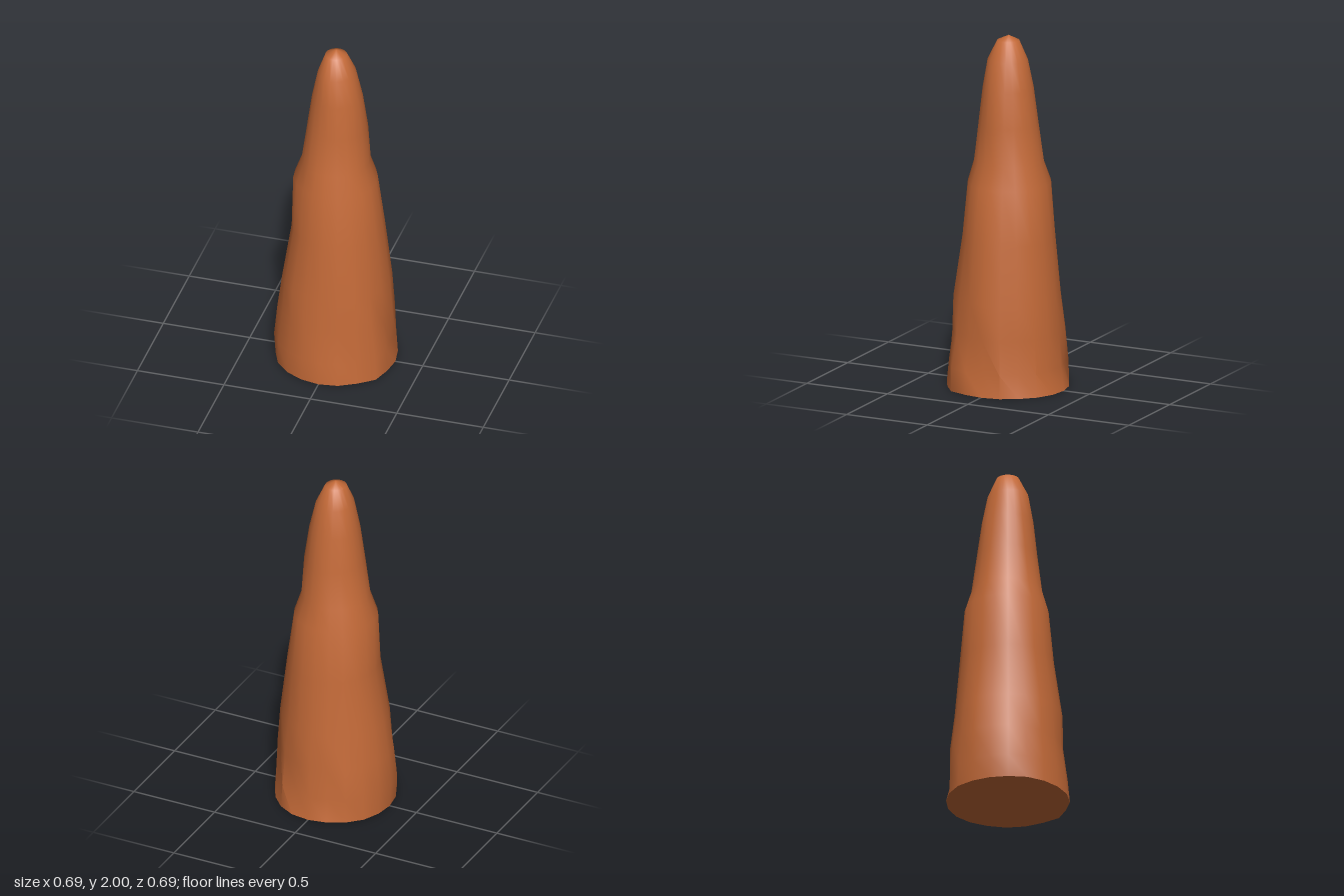
import * as THREE from 'three';
import { toCreasedNormals } from 'three/addons/utils/BufferGeometryUtils.js';

// Heights of the rings, and the radius at each toward front, left, back and right
const HEIGHTS = [0, 0.13, 0.32, 0.52, 0.85, 1.16, 1.28, 1.5, 1.7, 1.86, 1.97, 2];
const RADII = [
  [0.345, 0.335, 0.310, 0.305, 0.255, 0.230, 0.196, 0.165, 0.145, 0.120, 0.065, 0], // +z
  [0.342, 0.337, 0.326, 0.311, 0.274, 0.232, 0.190, 0.177, 0.150, 0.112, 0.060, 0], // +x
  [0.342, 0.325, 0.313, 0.292, 0.267, 0.235, 0.198, 0.170, 0.142, 0.109, 0.060, 0], // -z
  [0.335, 0.343, 0.328, 0.300, 0.245, 0.238, 0.194, 0.163, 0.133, 0.100, 0.060, 0], // -x
];
const SEGMENTS = 20;

// Chips along the foot: angle from +z toward +x, ring, inward depth
const CHIPS = [[5, 1, 0.025], [7, 1, 0.03], [7, 2, 0.015], [9, 1, 0.025], [11, 1, 0.02], [4, 2, 0.012]];

function radiusAt(segment, ring) {
  const t = (segment / SEGMENTS) * 4;
  const k = Math.floor(t) % 4;
  const f = t - Math.floor(t);
  let r = THREE.MathUtils.lerp(RADII[k][ring], RADII[(k + 1) % 4][ring], f * f * (3 - 2 * f));
  // Slight unevenness between the four main directions
  r *= 1 + 0.012 * Math.sin(segment * 2.5 * Math.PI + ring * 1.7) * Math.sin(f * Math.PI);
  for (const [s, g, depth] of CHIPS) if (s === segment && g === ring) r -= depth;
  // Protruding foot corner at front left
  if (ring < 2 && segment === 3) r += 0.02;
  return r;
}

export function createModel() {
  const group = new THREE.Group();
  group.name = 'rockSpire';

  // Spire: a lathe closed underneath, whose rings are then made uneven
  const profile = [new THREE.Vector2(0, 0), ...HEIGHTS.map((y, i) => new THREE.Vector2(RADII[0][i], y))];
  const geometry = new THREE.LatheGeometry(profile, SEGMENTS);
  const position = geometry.attributes.position;
  for (let s = 0; s <= SEGMENTS; s++) {
    const angle = (s / SEGMENTS) * Math.PI * 2;
    for (let ring = 0; ring < HEIGHTS.length; ring++) {
      const r = radiusAt(s % SEGMENTS, ring);
      position.setXYZ(s * profile.length + ring + 1, Math.sin(angle) * r, HEIGHTS[ring], Math.cos(angle) * r);
    }
  }

  const spire = new THREE.Mesh(
    toCreasedNormals(geometry, Math.PI / 4),
    new THREE.MeshStandardMaterial({ color: 0xc46a38 })
  );
  spire.name = 'spire';
  group.add(spire);
  return group;
}
